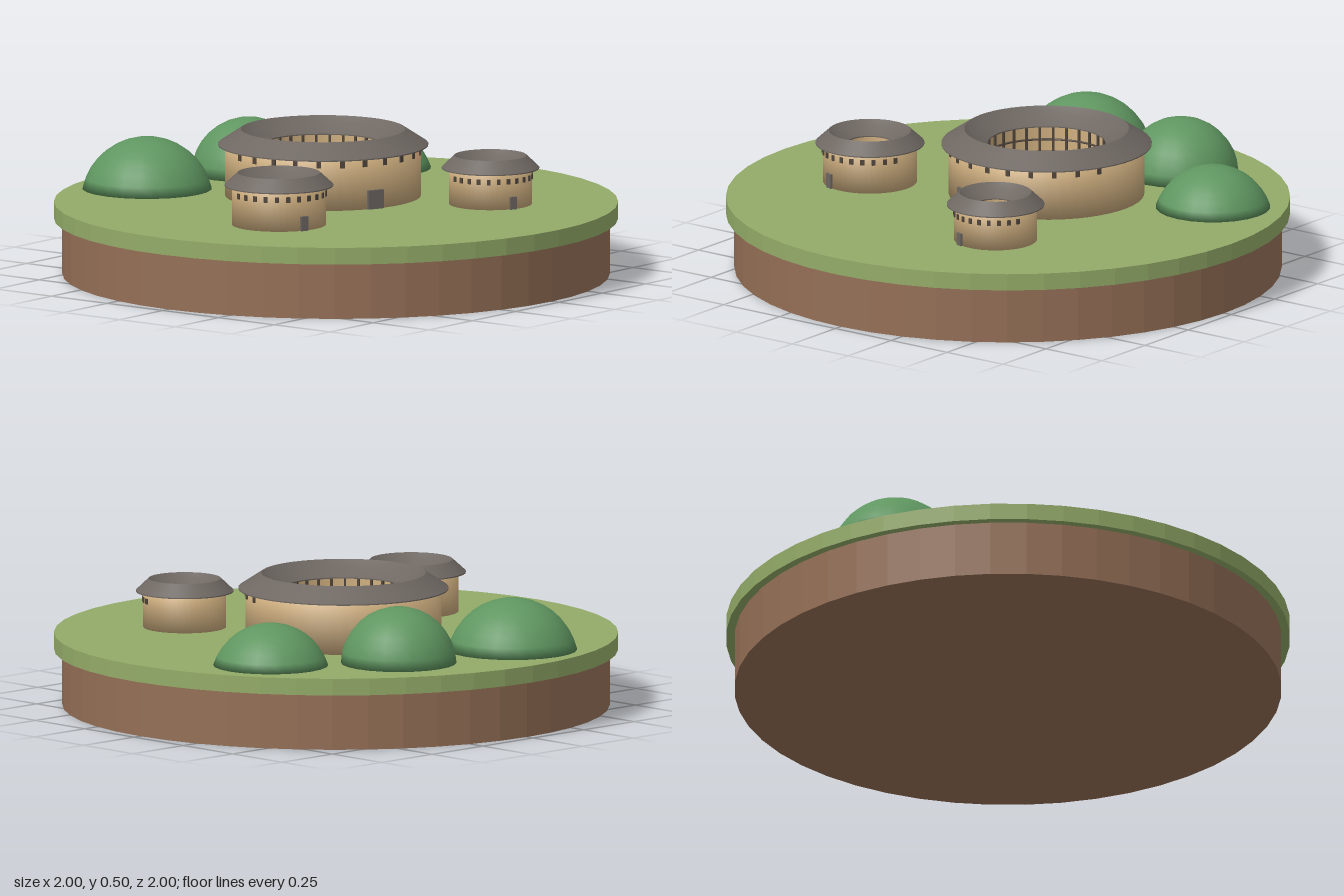
import * as THREE from 'three';

const mat = (name, color, extra = {}) => new THREE.MeshStandardMaterial({ name, color, ...extra });
const M = {
  grass: mat('grass green', 0x93ab68, { flatShading: true }),
  earth: mat('earth brown', 0x946f56, { flatShading: true }),
  wall: mat('rammed earth tan', 0xd0b080),
  roof: mat('tile grey', 0x6e6762),
  hallRoof: null,
  wood: mat('dark timber', 0x51463d),
  court: mat('courtyard stone', 0xc4b296),
  hill: mat('hill green', 0x5f9660),
};
const GROUND = 0.26;

function add(parent, name, geo, material, x = 0, y = 0, z = 0) {
  const m = new THREE.Mesh(geo, material);
  m.name = name;
  m.position.set(x, y, z);
  parent.add(m);
  return m;
}

// Surface of revolution from [radius, height] pairs; a repeated pair makes a crease
const lathe = (pts, n = 48) => new THREE.LatheGeometry(pts.map(p => new THREE.Vector2(...p)), n);

// Place a part against a round wall at angle a, facing outwards
function onRing(mesh, r, a) {
  mesh.position.x = Math.sin(a) * r;
  mesh.position.z = Math.cos(a) * r;
  mesh.rotation.y = a;
}

// Round house with an open courtyard, its door facing local +z
function roundHouse(o) {
  const g = new THREE.Group();
  g.name = o.name;
  g.position.set(o.x, GROUND, o.z);
  g.rotation.y = -0.35;
  const { R, r, eave, ridge, eaveR, ridgeR, innerR } = o;

  add(g, 'ringWall', lathe([[0, 0], [R, 0], [R, eave], [r, eave], [r, eave], [r, 0.005]]), M.wall);

  // Low crowned floor of the courtyard
  const floor = [1, 0.85, 0.65, 0.4, 0.2, 0].map(t => [t * r, 0.005 + 0.15 * r * (1 - t * t)]);
  add(g, 'courtyard', lathe(floor), M.court);

  // Ring roof sloping outwards and inwards from the ridge
  const top = [ridgeR, ridge], out = [eaveR, eave], inn = [innerR, eave];
  const mid = [ridgeR - (ridgeR - innerR) * 0.35, ridge - (ridge - eave) * 0.45];
  add(g, 'ringRoof', lathe([
    [innerR, eave - 0.004], [eaveR, eave - 0.004], [eaveR, eave - 0.004],
    out, out, top, top, mid, inn, inn, [innerR, eave - 0.004],
  ]), M.roof);

  // Small windows around the front half of the wall
  for (let i = 0; i < 14; i++) {
    const w = add(g, 'window', new THREE.BoxGeometry(o.winW, o.winH, 0.008), M.wood, 0, o.winY);
    onRing(w, R, -Math.PI / 2 + (Math.PI * i) / 13);
  }
  add(g, 'door', new THREE.BoxGeometry(o.doorW, o.doorH, 0.016), M.roof, 0, o.doorH / 2, R);
  return g;
}

// Timber gallery lining the main courtyard
function gallery(g, radius, height) {
  for (let i = 0; i < 28; i++) {
    const p = add(g, 'galleryPost', new THREE.BoxGeometry(0.008, height, 0.008), M.wood, 0, height / 2);
    onRing(p, radius, (i / 28) * Math.PI * 2);
  }
  for (const y of [0.045, 0.09, 0.135]) {
    const rail = add(g, 'galleryRail', new THREE.TorusGeometry(radius, 0.004, 5, 48), M.wood, 0, y);
    rail.rotation.x = Math.PI / 2;
  }
}

// Little gabled hall in the main courtyard
function hall(g) {
  const w = 0.13, d = 0.1;
  add(g, 'hallWalls', new THREE.BoxGeometry(w, 0.05, d), M.wall, 0, 0.03);
  const gable = new THREE.Shape([
    new THREE.Vector2(-0.064, 0), new THREE.Vector2(0.064, 0), new THREE.Vector2(0, 0.04),
  ]);
  const geo = new THREE.ExtrudeGeometry(gable, { depth: 0.15, bevelEnabled: false });
  geo.translate(0, 0, -0.075);
  geo.rotateY(Math.PI / 2);
  add(g, 'hallRoof', geo, M.roof, 0, 0.055);
}

export function createModel() {
  const model = new THREE.Group();
  model.name = 'roundHouseVillage';

  // Island
  add(model, 'earthBase', new THREE.CylinderGeometry(0.97, 0.97, 0.2, 48), M.earth, 0, 0.1);
  add(model, 'grassTop', new THREE.CylinderGeometry(1, 1, 0.06, 48), M.grass, 0, 0.23);

  // Houses
  const main = roundHouse({
    name: 'mainHouse', x: 0.08, z: -0.12, R: 0.347, r: 0.225, eave: 0.185, ridge: 0.238,
    eaveR: 0.373, ridgeR: 0.292, innerR: 0.209, winW: 0.016, winH: 0.024, winY: 0.165,
    doorW: 0.065, doorH: 0.068,
  });
  gallery(main, 0.216, 0.185);
  hall(main);
  model.add(main);
  model.add(roundHouse({
    name: 'leftSmallHouse', x: -0.51, z: 0.14, R: 0.167, r: 0.09, eave: 0.143, ridge: 0.186,
    eaveR: 0.193, ridgeR: 0.146, innerR: 0.077, winW: 0.014, winH: 0.02, winY: 0.114,
    doorW: 0.03, doorH: 0.052,
  }));
  model.add(roundHouse({
    name: 'frontSmallHouse', x: 0.3, z: 0.46, R: 0.147, r: 0.075, eave: 0.131, ridge: 0.174,
    eaveR: 0.173, ridgeR: 0.128, innerR: 0.063, winW: 0.013, winH: 0.019, winY: 0.1,
    doorW: 0.026, doorH: 0.045,
  }));

  // Wooded hills behind, each a spherical cap
  for (const [x, z, r, h] of [[-0.19, -0.7, 0.23, 0.185], [0.295, -0.62, 0.205, 0.2], [0.655, -0.34, 0.204, 0.15]]) {
    const R = (r * r + h * h) / (2 * h), a = Math.acos((R - h) / R);
    const pts = [[0, 0]];
    for (let i = 8; i >= 0; i--) {
      const t = (a * i) / 8;
      pts.push([R * Math.sin(t), R * Math.cos(t) - R + h]);
    }
    add(model, 'hill', lathe(pts, 24), M.hill, x, GROUND, z);
  }
  return model;
}
